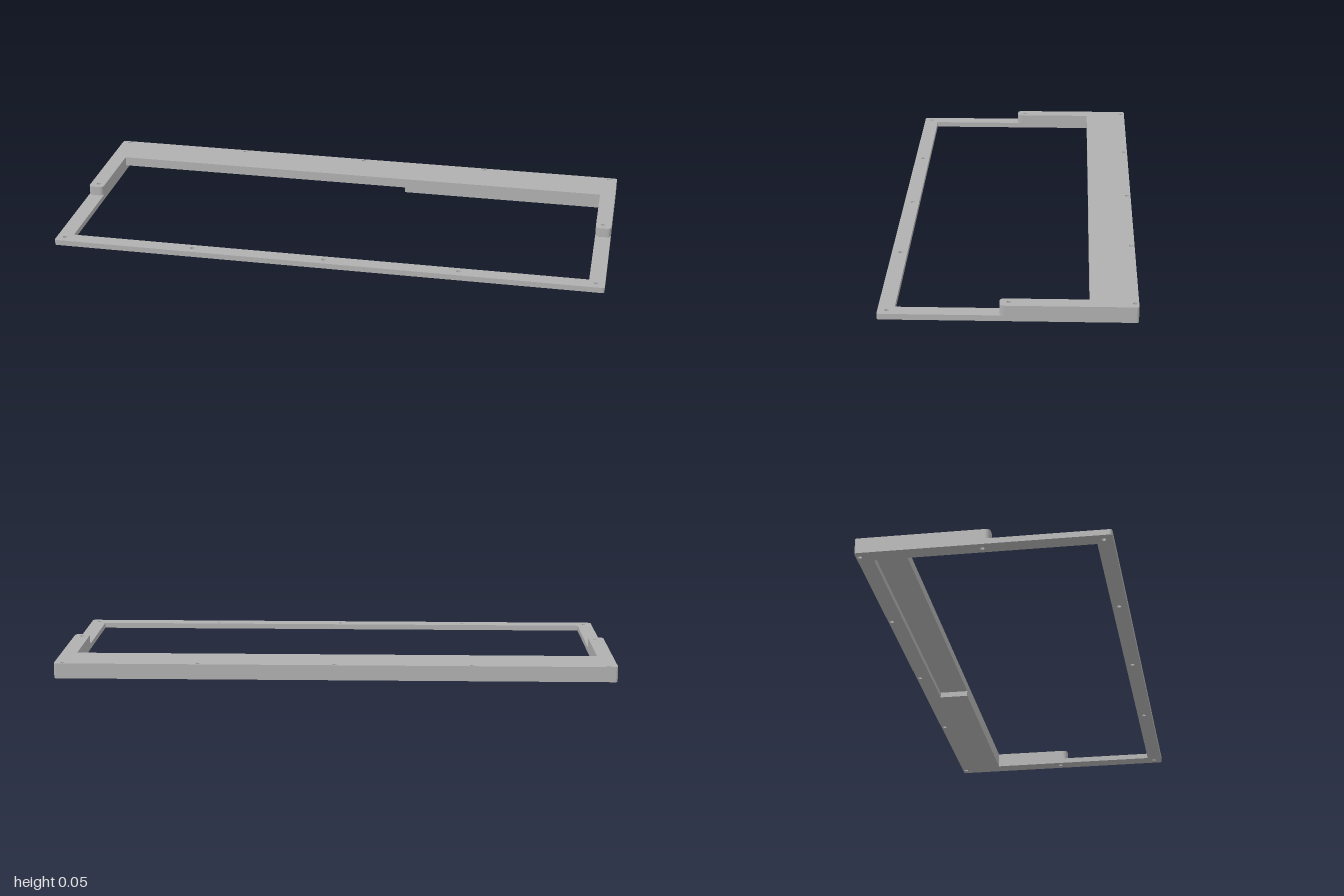
import * as THREE from 'three';

const W = 1, D = 0.427;          // half width and half depth
const IN_X = 0.943, IN_Z = 0.372; // inner opening
const SPLIT = 0.02, TOP = 0.055;  // layer heights
const HOLE_X = [-0.969, -0.486, 0, 0.486, 0.969];

// Closed path from [x, z, cornerRadius] points, drawn with shape y = -z
function outline(points, path) {
  const n = points.length;
  const v = points.map(([x, z]) => new THREE.Vector2(x, -z));
  points.forEach(([, , r = 0], i) => {
    const p = v[i];
    const a = v[(i + n - 1) % n].clone().sub(p).setLength(r).add(p);
    const b = v[(i + 1) % n].clone().sub(p).setLength(r).add(p);
    if (i === 0) path.moveTo(a.x, a.y); else path.lineTo(a.x, a.y);
    if (r > 0) path.quadraticCurveTo(p.x, p.y, b.x, b.y);
  });
  path.closePath();
  return path;
}

function addHoles(shape, holes) {
  for (const [x, z] of holes) {
    shape.holes.push(new THREE.Path().absarc(x, -z, 0.008, 0, Math.PI * 2, true));
  }
}

function layer(name, shape, y0, y1, material) {
  const geometry = new THREE.ExtrudeGeometry(shape, {
    depth: y1 - y0, bevelEnabled: false, curveSegments: 8,
  });
  geometry.rotateX(-Math.PI / 2).translate(0, y0, 0);
  const mesh = new THREE.Mesh(geometry, material);
  mesh.name = name;
  return mesh;
}

export function createModel() {
  const group = new THREE.Group();
  group.name = 'mountingFrame';
  const grey = new THREE.MeshStandardMaterial({ color: 0xb0b0b0 });
  grey.name = 'grey';

  // Screw hole positions
  const backHoles = HOLE_X.map((x) => [x, -0.415]);
  const frontHoles = HOLE_X.map((x) => [x, 0.396]);
  const sideHoles = [[-0.969, -0.004], [0.969, -0.004]];

  // Thin lower frame, its back bar widened on the left side
  const base = outline([[-W, D, 0.01], [W, D, 0.01], [W, -D, 0.01], [-W, -D, 0.01]], new THREE.Shape());
  base.holes.push(outline([
    [-IN_X, IN_Z], [-IN_X, -IN_Z], [0.19, -IN_Z], [0.19, -0.267], [IN_X, -0.267], [IN_X, IN_Z],
  ], new THREE.Path()));
  addHoles(base, [...backHoles, ...frontHoles, ...sideHoles]);
  group.add(layer('lowerFrame', base, 0, SPLIT, grey));

  // Raised back bar with side arms ending in rounded tabs
  const raised = outline([
    [-W, 0.027, 0.018], [-IN_X, 0.027, 0.018], [-IN_X, -0.267], [IN_X, -0.267],
    [IN_X, 0.027, 0.018], [W, 0.027, 0.018], [W, -D, 0.01], [-W, -D, 0.01],
  ], new THREE.Shape());
  addHoles(raised, [...backHoles, ...sideHoles]);
  group.add(layer('raisedBackFrame', raised, SPLIT, TOP, grey));

  return group;
}
